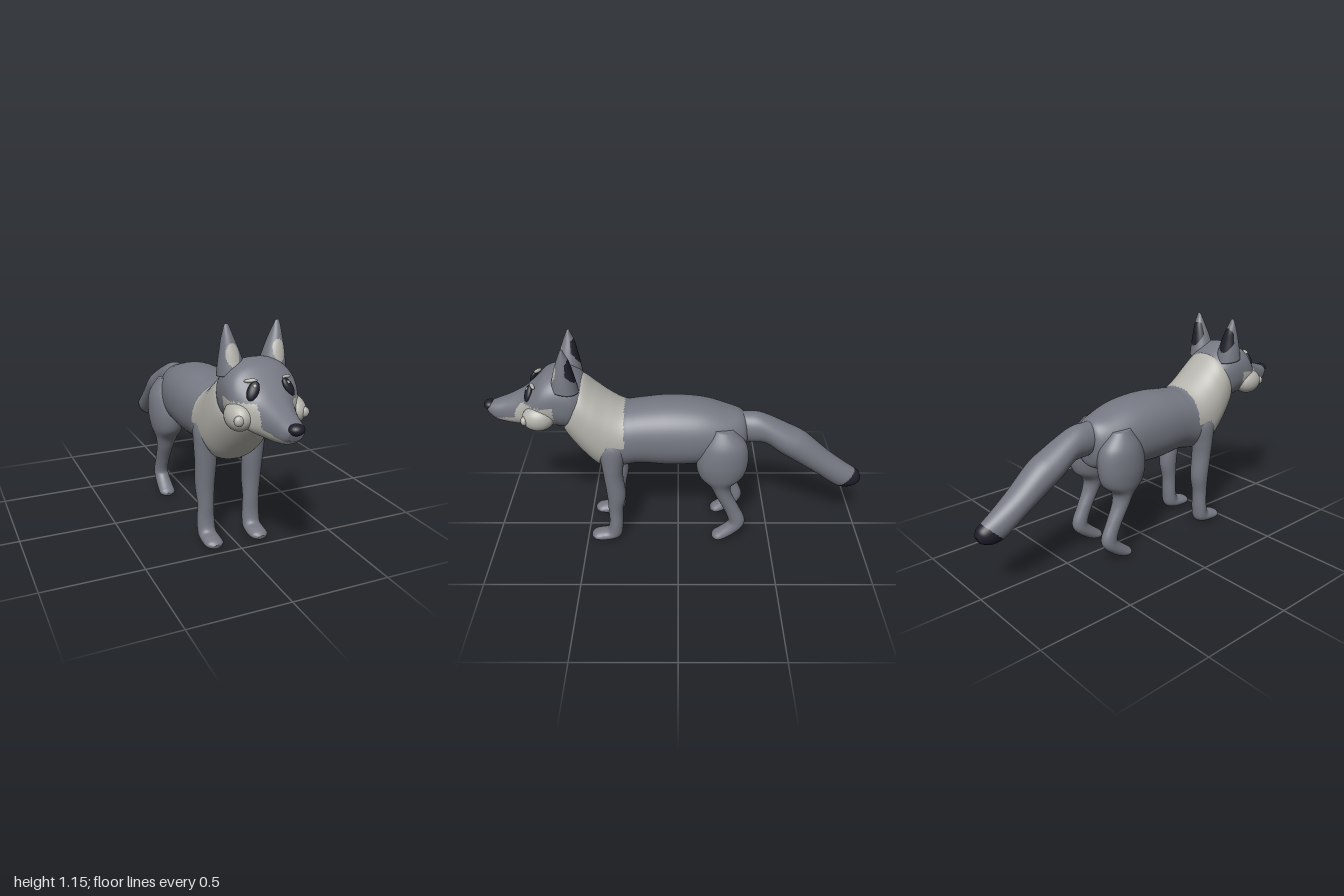
import * as THREE from 'three';

const mat = (name, color) => {
  const m = new THREE.MeshStandardMaterial({ color });
  m.name = name;
  return m;
};
const fur = mat('grey fur', 0x757882);
const cream = mat('pale fur', 0xb4b3ac);
const dark = mat('dark', 0x1f1f2b);

const AROUND = 56, STEPS = 9;

// Catmull-Rom interpolation of whole rows of numbers
function blend(rows, i, t) {
  const at = k => rows[Math.min(rows.length - 1, Math.max(0, k))];
  const [a, b, c, d] = [at(i - 1), at(i), at(i + 1), at(i + 2)];
  return b.map((v, k) => v + 0.5 * t * (c[k] - a[k]
    + t * (2 * a[k] - 5 * v + 4 * c[k] - d[k] + t * (3 * (v - c[k]) + d[k] - a[k]))));
}

// Smooth loft. Row: [z1, y1, z2, y2, halfWidth, xCentre], the two ends of a section
// in the side plane. paint(|x|, y, z) picks a material index for each face.
function loft(name, rows, { materials = [fur], paint = () => 0, side = 1, power = 2 } = {}) {
  const pos = [], faces = materials.map(() => []);
  const full = rows.map(r => [...r, 0].slice(0, 6));
  const rings = [];
  for (let i = 0; i < full.length - 1; i++)
    for (let s = 0; s < STEPS; s++) rings.push(blend(full, i, s / STEPS));
  rings.push(full[full.length - 1]);

  const round = v => Math.sign(v) * Math.abs(v) ** (2 / power);
  for (const [z1, y1, z2, y2, hw, xc] of rings)
    for (let j = 0; j < AROUND; j++) {
      const a = (j / AROUND) * Math.PI * 2;
      const u = round(Math.cos(a)) * hw, v = round(Math.sin(a)) / 2;
      pos.push(side * xc + u, (y1 + y2) / 2 + v * (y1 - y2), (z1 + z2) / 2 + v * (z1 - z2));
    }
  const ends = [rings[0], rings[rings.length - 1]];
  for (const [z1, y1, z2, y2, , xc] of ends) pos.push(side * xc, (y1 + y2) / 2, (z1 + z2) / 2);

  // faces turn outward whichever way the path runs
  let turn = 0;
  for (let i = 1; i < full.length; i++) {
    const [a, b] = [full[i - 1], full[i]];
    turn += (b[1] + b[3] - a[1] - a[3]) * (b[2] - b[0]) + (b[0] + b[2] - a[0] - a[2]) * (b[1] - b[3]);
  }
  const tri = (a, b, c) => {
    const mid = k => (pos[a * 3 + k] + pos[b * 3 + k] + pos[c * 3 + k]) / 3;
    faces[paint(Math.abs(mid(0)), mid(1), mid(2))].push(a, ...(turn > 0 ? [b, c] : [c, b]));
  };
  const last = (rings.length - 1) * AROUND, pole = rings.length * AROUND;
  for (let j = 0; j < AROUND; j++) {
    const k = (j + 1) % AROUND;
    for (let r = 0; r < last; r += AROUND) {
      tri(r + j, r + k, r + AROUND + j);
      tri(r + k, r + AROUND + k, r + AROUND + j);
    }
    tri(pole, k, j);
    tri(pole + 1, last + j, last + k);
  }
  const geo = new THREE.BufferGeometry();
  geo.setAttribute('position', new THREE.Float32BufferAttribute(pos, 3));
  geo.setIndex(faces.flat());
  let start = 0;
  faces.forEach((f, m) => { geo.addGroup(start, f.length, m); start += f.length; });
  geo.computeVertexNormals();
  const mesh = new THREE.Mesh(geo, materials);
  mesh.name = name;
  return mesh;
}

// Ellipsoid turned to face a direction, then rolled
function blob(name, material, p, r, facing = [0, 0, 1], roll = 0) {
  const m = new THREE.Mesh(new THREE.SphereGeometry(1, 28, 20), material);
  m.name = name;
  m.position.set(...p);
  m.scale.set(...r);
  m.lookAt(p[0] + facing[0], p[1] + facing[1], p[2] + facing[2]);
  m.rotateZ(roll);
  return m;
}

const inOval = (x, y, cx, cy, rx, ry) => ((x - cx) / rx) ** 2 + ((y - cy) / ry) ** 2 < 1;

export function createModel() {
  const fox = new THREE.Group();
  fox.name = 'fox';

  // Trunk and neck, with a pale collar and chest
  fox.add(loft('body', [
    [-0.37, 0.66, -0.36, 0.56, 0.04], [-0.34, 0.735, -0.34, 0.50, 0.10],
    [-0.25, 0.77, -0.24, 0.47, 0.15], [-0.12, 0.805, -0.10, 0.46, 0.175],
    [0.05, 0.815, 0.05, 0.455, 0.18], [0.20, 0.80, 0.20, 0.465, 0.172],
    [0.27, 0.795, 0.32, 0.445, 0.174], [0.35, 0.84, 0.41, 0.45, 0.178],
    [0.42, 0.895, 0.50, 0.54, 0.174], [0.48, 0.945, 0.58, 0.65, 0.155],
    [0.51, 0.93, 0.60, 0.70, 0.11],
  ], {
    materials: [fur, cream], power: 2.2,
    paint: (x, y, z) => (y > 0.62 ? z > 0.275 : z > 0.37 && x < 0.08 + (y - 0.43) * 0.65) ? 1 : 0,
  }));

  // Tail with a dark tip
  fox.add(loft('tail', [
    [-0.25, 0.74, -0.27, 0.60, 0.05], [-0.35, 0.738, -0.36, 0.57, 0.07],
    [-0.44, 0.728, -0.46, 0.56, 0.076], [-0.60, 0.65, -0.54, 0.505, 0.09],
    [-0.68, 0.605, -0.64, 0.44, 0.087], [-0.80, 0.50, -0.745, 0.37, 0.076],
    [-0.90, 0.425, -0.84, 0.30, 0.065], [-0.955, 0.388, -0.89, 0.277, 0.056],
    [-0.985, 0.365, -0.94, 0.277, 0.045], [-0.998, 0.335, -0.98, 0.295, 0.022],
  ], {
    materials: [fur, dark],
    paint: (x, y, z) => z < -0.875 - (y - 0.295) * 0.95 ? 1 : 0,
  }));

  // Head and snout, with a pale jaw
  fox.add(loft('head', [
    [0.45, 0.90, 0.51, 0.68, 0.13], [0.50, 0.96, 0.58, 0.69, 0.16],
    [0.58, 1.0, 0.64, 0.70, 0.168], [0.66, 0.985, 0.70, 0.70, 0.165],
    [0.72, 0.93, 0.75, 0.695, 0.142], [0.78, 0.88, 0.80, 0.69, 0.10],
    [0.86, 0.84, 0.87, 0.695, 0.073], [0.94, 0.81, 0.93, 0.71, 0.055],
    [0.985, 0.795, 0.965, 0.735, 0.033],
  ], {
    materials: [fur, cream], power: 2.35,
    paint: (x, y, z) => z > 0.62 && z < 0.955
      && (y < 0.765 - (z - 0.78) * 0.2 || (x > 0.085 && y < 0.845)) ? 1 : 0,
  }));
  fox.add(blob('nose', dark, [0, 0.785, 0.968], [0.036, 0.025, 0.032]));

  // Paired parts
  for (const s of [1, -1]) {
    const label = s > 0 ? 'left' : 'right';
    const add = (name, rows, opts) => fox.add(loft(label + name, rows, { side: s, ...opts }));

    add('Ear', [
      [0.63, 0.93, 0.49, 0.91, 0.068, 0.098], [0.618, 0.98, 0.50, 0.97, 0.058, 0.104],
      [0.605, 1.03, 0.512, 1.03, 0.045, 0.11], [0.588, 1.08, 0.523, 1.08, 0.031, 0.117],
      [0.572, 1.12, 0.54, 1.12, 0.019, 0.122], [0.562, 1.143, 0.549, 1.143, 0.011, 0.124],
      [0.557, 1.15, 0.553, 1.15, 0.004, 0.125],
    ], {
      materials: [fur, cream, dark],
      paint: (x, y, z) => z > 0.565 && inOval(x, y, 0.113, 1.02, 0.03, 0.05) ? 1
        : z < 0.545 && inOval(x, y, 0.113, 1.035, 0.043, 0.065) ? 2 : 0,
    });

    add('FrontLeg', [
      [0.38, 0.66, 0.30, 0.66, 0.03, 0.13], [0.41, 0.60, 0.27, 0.60, 0.054, 0.132],
      [0.40, 0.50, 0.285, 0.50, 0.056, 0.13], [0.392, 0.42, 0.29, 0.42, 0.054, 0.127],
      [0.38, 0.30, 0.28, 0.30, 0.049, 0.127], [0.377, 0.20, 0.298, 0.20, 0.042, 0.125],
      [0.376, 0.12, 0.302, 0.10, 0.045, 0.125], [0.39, 0.07, 0.315, 0.03, 0.046, 0.124],
      [0.43, 0.06, 0.37, 0.005, 0.048, 0.123], [0.46, 0.05, 0.44, 0.005, 0.045, 0.123],
      [0.478, 0.035, 0.47, 0.012, 0.02, 0.123],
    ]);

    add('HindLeg', [
      [-0.18, 0.71, -0.28, 0.70, 0.04, 0.12], [-0.12, 0.62, -0.35, 0.62, 0.085, 0.12],
      [-0.095, 0.52, -0.365, 0.52, 0.095, 0.12], [-0.11, 0.43, -0.345, 0.43, 0.084, 0.12],
      [-0.17, 0.36, -0.285, 0.37, 0.06, 0.122], [-0.205, 0.29, -0.285, 0.31, 0.046, 0.125],
      [-0.25, 0.20, -0.327, 0.22, 0.038, 0.125], [-0.275, 0.13, -0.362, 0.14, 0.038, 0.125],
      [-0.26, 0.10, -0.35, 0.085, 0.04, 0.125], [-0.22, 0.065, -0.28, 0.025, 0.043, 0.125],
      [-0.195, 0.045, -0.225, 0.004, 0.042, 0.125], [-0.185, 0.03, -0.19, 0.012, 0.02, 0.125],
    ]);

    // Face details
    const gaze = [s * 0.45, 0.45, 0.8];
    fox.add(
      blob(label + 'Cheek', cream, [s * 0.13, 0.777, 0.70], [0.06, 0.066, 0.082]),
      blob(label + 'CheekSpot', cream, [s * 0.157, 0.777, 0.765], [0.024, 0.024, 0.018]),
      blob(label + 'Eye', dark, [s * 0.085, 0.895, 0.745], [0.025, 0.045, 0.016], gaze, s * 0.3),
      blob(label + 'EyeGlint', cream, [s * 0.08, 0.917, 0.75], [0.008, 0.009, 0.006], gaze),
      blob(label + 'Brow', cream, [s * 0.085, 0.934, 0.722], [0.03, 0.009, 0.01], gaze, s * -0.1),
    );
  }
  return fox;
}
